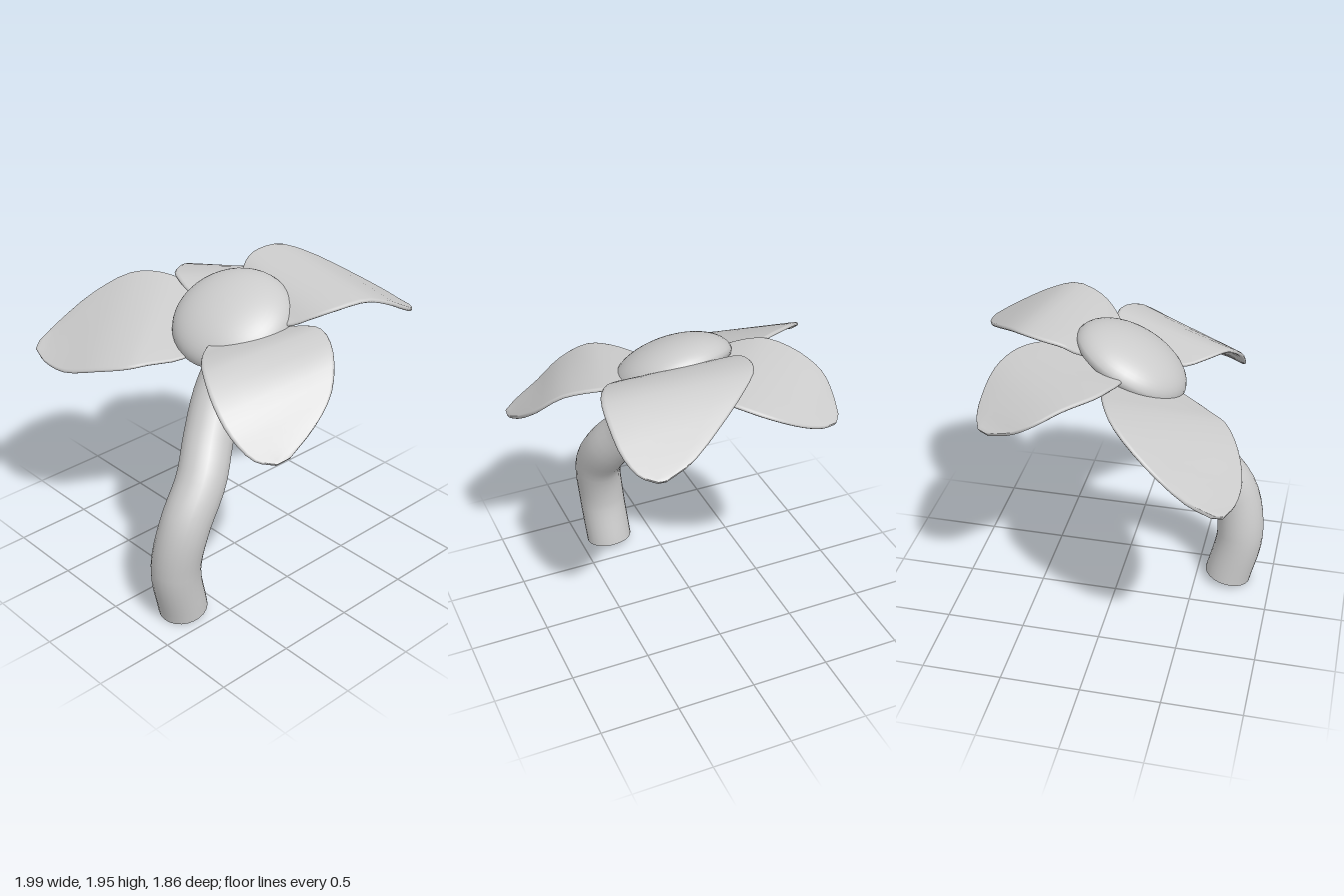
import * as THREE from 'three';

const material = new THREE.MeshStandardMaterial({ color: 0xcccccc });
const HEAD = new THREE.Vector3(0.07, 1.68, 0.08);
const vec = (p) => new THREE.Vector3(...p);

// Half of a petal's cross-section: [position across, share of the half thickness]
const HALF = [[0, 0], [0.01, 0.7], [0.03, 1], [0.25, 1], [0.5, 1], [0.75, 1], [0.97, 1], [0.99, 0.7], [1, 0]];
const RING = [...HALF, ...HALF.slice(1, -1).reverse().map(([u, f]) => [u, -f])];

// A thin bent slab lofted between two edge curves that run from root to tip
function petal(name, edgeA, edgeB) {
  const half = 0.013, steps = 21, n = RING.length;
  const curve = (edge) => {
    const pts = edge.map(vec);
    // the root tucks in under the flower head
    return new THREE.CatmullRomCurve3([pts[0].clone().lerp(HEAD, 0.5), ...pts]);
  };
  const a = curve(edgeA), b = curve(edgeB);
  const mid = (t) => a.getPoint(t).lerp(b.getPoint(t), 0.5);
  const pos = [], index = [];
  const collapsed = (p) => RING.forEach(() => pos.push(p.x, p.y, p.z));

  collapsed(mid(0));
  for (let i = 0; i <= steps; i++) {
    const t = i / steps, A = a.getPoint(t), B = b.getPoint(t);
    const along = mid(Math.min(1, t + 0.02)).sub(mid(Math.max(0, t - 0.02)));
    const normal = along.cross(B.clone().sub(A)).normalize();
    for (const [u, f] of RING) {
      const p = A.clone().lerp(B, u).addScaledVector(normal, f * half);
      pos.push(p.x, p.y, p.z);
    }
  }
  collapsed(mid(1));

  for (let i = 0; i < steps + 2; i++) {
    for (let j = 0; j < n; j++) {
      const p = i * n + j, q = i * n + (j + 1) % n;
      index.push(p, p + n, q, q, p + n, q + n);
    }
  }
  const geometry = new THREE.BufferGeometry();
  geometry.setAttribute('position', new THREE.Float32BufferAttribute(pos, 3));
  geometry.setIndex(index);
  geometry.computeVertexNormals();
  const mesh = new THREE.Mesh(geometry, material);
  mesh.name = name;
  return mesh;
}

export function createModel() {
  const flower = new THREE.Group();
  flower.name = 'flower';

  // Bent, open-ended stem
  const path = new THREE.CatmullRomCurve3([
    [0.305, 0.015, 0.71], [0.325, 0.35, 0.775], [0.355, 0.65, 0.72], [0.325, 0.88, 0.565],
    [0.23, 1.07, 0.42], [0.15, 1.3, 0.255], [0.145, 1.66, -0.015],
  ].map(vec));
  const stem = new THREE.Mesh(new THREE.TubeGeometry(path, 28, 0.152, 24), material);
  stem.name = 'stem';
  flower.add(stem);

  // Tilted domed head with a rim and a hollow underneath
  const profile = [[0, 0.05], [0.14, 0.045], [0.21, 0.02], [0.235, -0.03], [0.25, -0.045], [0.32, -0.04], [0.355, -0.025]];
  for (let i = 0; i <= 14; i++) {
    const t = (i / 14) * Math.PI / 2;
    profile.push([0.37 * Math.cos(t), 0.185 * Math.sin(t)]);
  }
  const head = new THREE.Mesh(
    new THREE.LatheGeometry(profile.map(([r, y]) => new THREE.Vector2(Math.max(r, 0), y)), 40), material);
  head.name = 'flowerHead';
  head.position.copy(HEAD);
  head.quaternion.setFromUnitVectors(new THREE.Vector3(0, 1, 0), new THREE.Vector3(0.13, 0.87, 0.45).normalize());
  flower.add(head);

  // Four petals, each given by its two edges from root to tip
  flower.add(petal('frontRightPetal',
    [[-0.2, 1.7, 0.03], [-0.4, 1.74, 0.01], [-0.6, 1.765, 0.06], [-0.78, 1.735, 0.16], [-0.92, 1.61, 0.36], [-0.99, 1.45, 0.6], [-0.98, 1.375, 0.75]],
    [[0.02, 1.52, 0.42], [-0.1, 1.49, 0.6], [-0.17, 1.47, 0.7], [-0.35, 1.42, 0.8], [-0.58, 1.35, 0.86], [-0.8, 1.335, 0.85], [-0.94, 1.35, 0.81]]));
  flower.add(petal('frontLeftPetal',
    [[0.19, 1.63, 0.4], [0.3, 1.64, 0.53], [0.42, 1.63, 0.62], [0.58, 1.53, 0.69], [0.73, 1.4, 0.7], [0.89, 1.31, 0.67], [0.98, 1.295, 0.59]],
    [[0.35, 1.68, -0.05], [0.48, 1.72, -0.1], [0.62, 1.75, -0.11], [0.8, 1.7, -0.02], [0.93, 1.55, 0.12], [0.98, 1.42, 0.3], [0.995, 1.31, 0.5]]));
  flower.add(petal('backLeftPetal',
    [[0.42, 1.72, -0.04], [0.53, 1.78, -0.12], [0.62, 1.83, -0.22], [0.7, 1.86, -0.4], [0.72, 1.8, -0.57], [0.71, 1.71, -0.74], [0.66, 1.65, -0.86], [0.58, 1.63, -0.92]],
    [[-0.15, 1.82, -0.2], [-0.195, 1.88, -0.28], [-0.21, 1.91, -0.38], [-0.17, 1.92, -0.52], [-0.06, 1.88, -0.63], [0.13, 1.79, -0.76], [0.37, 1.68, -0.89], [0.53, 1.63, -0.925]]));
  flower.add(petal('backRightPetal',
    [[0.1, 1.76, -0.3], [0.02, 1.76, -0.52], [-0.07, 1.74, -0.62], [-0.2, 1.69, -0.69], [-0.4, 1.6, -0.715], [-0.54, 1.55, -0.7], [-0.64, 1.53, -0.66]],
    [[-0.3, 1.74, 0.1], [-0.45, 1.765, 0.06], [-0.54, 1.765, 0.01], [-0.66, 1.73, -0.15], [-0.735, 1.66, -0.3], [-0.735, 1.59, -0.43], [-0.69, 1.535, -0.59]]));

  return flower;
}
